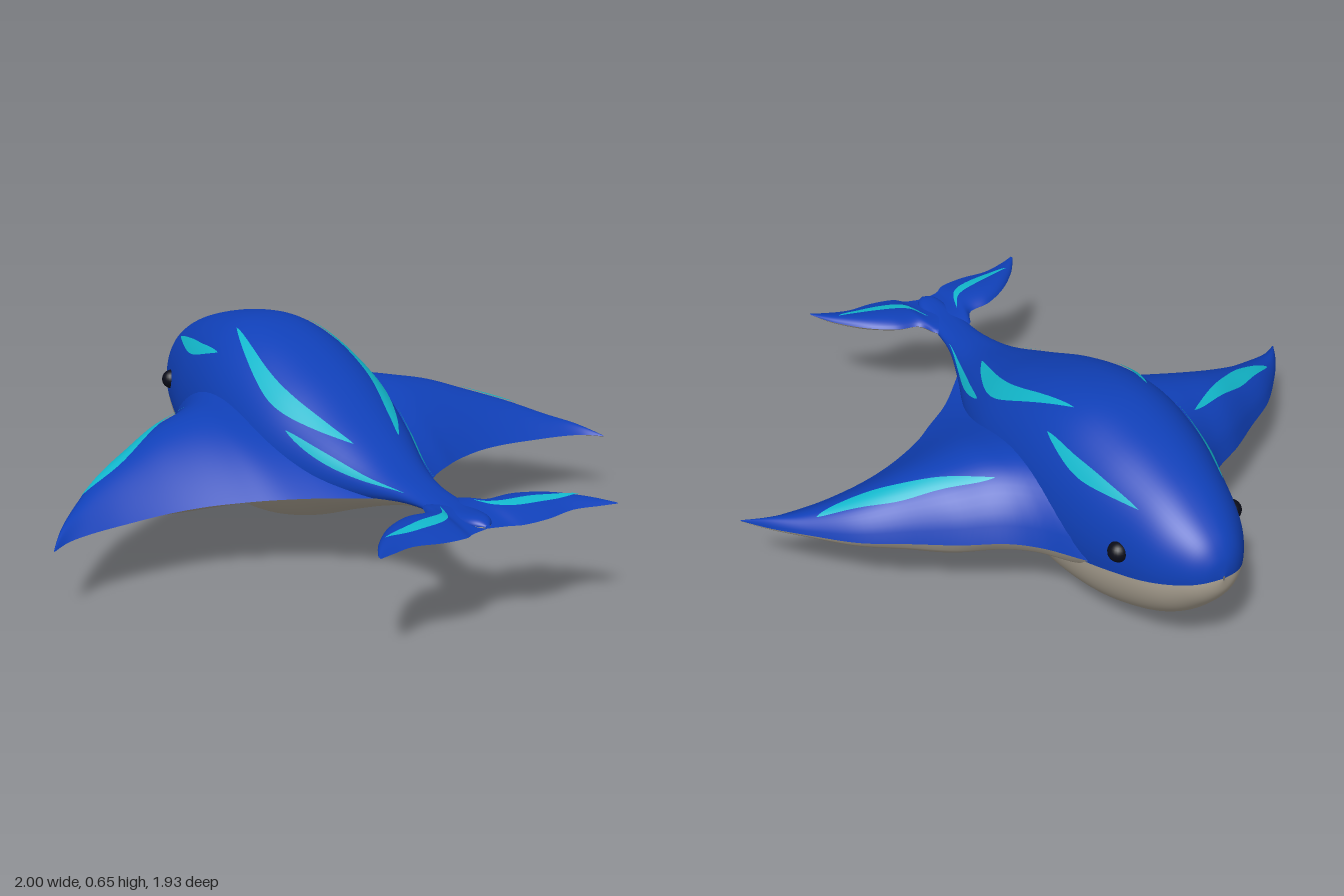
import * as THREE from 'three';

const mat = (name, color) => Object.assign(new THREE.MeshStandardMaterial({ color }), { name });

// Smooth interpolation through table rows, by row index
function rowAt(rows, t) {
  const n = rows.length - 1;
  const i = Math.min(Math.floor(t), n - 1), f = t - i;
  const p = k => rows[Math.max(0, Math.min(n, k))];
  return rows[i].map((b, c) => {
    const a = p(i - 1)[c], d = p(i + 1)[c], e = p(i + 2)[c];
    const m0 = (d - a) / 2, m1 = (e - b) / 2, f2 = f * f, f3 = f2 * f;
    return (2 * f3 - 3 * f2 + 1) * b + (f3 - 2 * f2 + f) * m0 + (3 * f2 - 2 * f3) * d + (f3 - f2) * m1;
  });
}

// Row at which the first column has the value x
function rowFor(rows, x) {
  let lo = 0, hi = rows.length - 1;
  for (let k = 0; k < 30; k++) {
    const mid = (lo + hi) / 2;
    if (rowAt(rows, mid)[0] < x) lo = mid; else hi = mid;
  }
  return rowAt(rows, lo);
}

// Curved sheet from a function f(u, v) -> [x, y, z]
function sheet(name, material, f, nu, nv, flip = false) {
  const pos = [], idx = [];
  for (let i = 0; i <= nu; i++) for (let j = 0; j <= nv; j++) pos.push(...f(i / nu, j / nv));
  for (let i = 0; i < nu; i++) for (let j = 0; j < nv; j++) {
    const a = i * (nv + 1) + j, b = a + nv + 1;
    if (flip) idx.push(a, b, a + 1, b, b + 1, a + 1);
    else idx.push(a, a + 1, b, b, a + 1, b + 1);
  }
  const g = new THREE.BufferGeometry();
  g.setAttribute('position', new THREE.Float32BufferAttribute(pos, 3));
  g.setIndex(idx);
  g.computeVertexNormals();
  const mesh = new THREE.Mesh(g, material);
  mesh.name = name;
  return mesh;
}

// Body sections: z, top, bottom, half width, colour border height
const BODY = [
  [-0.965, 0.372, 0.356, 0.004, 0.364],
  [-0.95, 0.425, 0.30, 0.055, 0.357],
  [-0.91, 0.477, 0.24, 0.105, 0.342],
  [-0.83, 0.53, 0.16, 0.16, 0.32],
  [-0.72, 0.58, 0.09, 0.202, 0.293],
  [-0.56, 0.628, 0.028, 0.248, 0.262],
  [-0.38, 0.655, 0.0, 0.275, 0.25],
  [-0.2, 0.63, 0.02, 0.28, 0.245],
  [0, 0.56, 0.08, 0.26, 0.24],
  [0.2, 0.47, 0.165, 0.2, 0.25],
  [0.4, 0.39, 0.245, 0.12, 0.29],
  [0.56, 0.36, 0.295, 0.07, 0.315],
  [0.72, 0.352, 0.315, 0.055, 0.33],
  [0.84, 0.36, 0.318, 0.04, 0.338],
  [0.885, 0.345, 0.335, 0.008, 0.34],
];

// Fin sections: x, leading z, trailing z, leading y, trailing y, rise above, depth below
const WING = [
  [0.08, -0.74, 0.46, 0.31, 0.3, 0.1, 0.1],
  [0.2, -0.66, 0.33, 0.285, 0.28, 0.17, 0.11],
  [0.3, -0.49, 0.255, 0.265, 0.27, 0.18, 0.1],
  [0.38, -0.4, 0.2, 0.255, 0.26, 0.18, 0.105],
  [0.5, -0.33, 0.145, 0.25, 0.25, 0.16, 0.1],
  [0.62, -0.245, 0.115, 0.245, 0.24, 0.125, 0.072],
  [0.75, -0.155, 0.105, 0.24, 0.23, 0.085, 0.045],
  [0.86, -0.04, 0.11, 0.235, 0.225, 0.045, 0.025],
  [0.94, 0.06, 0.125, 0.225, 0.22, 0.025, 0.012],
  [1.0, 0.155, 0.16, 0.215, 0.215, 0.002, 0.002],
];
const FLUKE = [
  [0, 0.66, 0.885, 0.335, 0.335, 0.015, 0.015],
  [0.06, 0.65, 0.9, 0.335, 0.335, 0.02, 0.015],
  [0.1, 0.715, 0.925, 0.34, 0.34, 0.025, 0.016],
  [0.18, 0.73, 0.932, 0.345, 0.345, 0.028, 0.02],
  [0.27, 0.785, 0.922, 0.35, 0.35, 0.022, 0.018],
  [0.35, 0.87, 0.943, 0.353, 0.353, 0.012, 0.01],
  [0.4, 0.95, 0.962, 0.357, 0.357, 0.001, 0.001],
];

function bodyPoint([z, top, bottom, w], a, lift = 0) {
  const c = Math.cos(a), s = Math.sin(a);
  const x = Math.sign(c) * Math.pow(Math.abs(c), s > 0 ? 0.85 : 1);
  return [x * (w + lift), (top + bottom) / 2 + s * ((top - bottom) / 2 + lift), z];
}

function finPoint([x, zL, zT, yL, yT, up, down], v, upper, lift = 0) {
  const k = Math.max(0, Math.min(1, v));
  const bulge = Math.sin(Math.PI * Math.pow(k, 0.7)) * (upper ? up : -down);
  return [x, yL + (yT - yL) * k + bulge + lift, zL + (zT - zL) * v];
}

export function createModel() {
  const blue = mat('deep blue', 0x1040b8);
  const cream = mat('belly cream', 0xb2a999);
  const teal = mat('stripe teal', 0x12b8cc);
  const black = mat('eye black', 0x0a0c18);
  const model = new THREE.Group();
  model.name = 'rayWhale';

  // Body: blue back and cream belly meet at the border height
  const half = belly => (u, v) => {
    const r = rowAt(BODY, u * (BODY.length - 1));
    const [, top, bottom, , split] = r;
    const s = Math.asin(Math.max(-0.95, Math.min(0.95, (2 * split - top - bottom) / (top - bottom))));
    const from = belly ? Math.PI - s : s, to = belly ? 2 * Math.PI + s : Math.PI - s;
    return bodyPoint(r, from + (to - from) * v);
  };
  model.add(sheet('back', blue, half(false), 84, 40), sheet('belly', cream, half(true), 84, 40));

  for (const side of [1, -1]) {
    const label = side > 0 ? 'left' : 'right';
    const mirror = p => [p[0] * side, p[1], p[2]];

    // Wings and tail flukes
    for (const [part, rows] of [['Wing', WING], ['Fluke', FLUKE]]) {
      for (const upper of [true, false]) {
        const f = (u, v) => mirror(finPoint(rowAt(rows, u * (rows.length - 1)), v, upper));
        model.add(sheet(label + part + (upper ? 'Top' : 'Underside'), upper ? blue : cream,
          f, 54, 28, upper !== (side > 0)));
      }
    }

    // Tapered stripes: path points along the surface, with a half width
    const stripe = (name, path, width, surface) => {
      const f = (u, v) => {
        const [p, q] = rowAt(path, u * (path.length - 1));
        return mirror(surface(p, q + width * Math.sin(Math.PI * u) * (2 * v - 1)));
      };
      model.add(sheet(label + name, teal, f, 40, 4, side < 0));
    };
    const onBody = (z, deg) => bodyPoint(rowFor(BODY, z), deg * Math.PI / 180, 0.005);
    const onFin = rows => (x, z) => {
      const r = rowFor(rows, x);
      return finPoint(r, (z - r[1]) / (r[2] - r[1]), true, 0.006);
    };
    stripe('HeadStripe', [[-0.74, 47], [-0.6, 43], [-0.48, 42], [-0.34, 46]], 5, onBody);
    stripe('BackStripe', [[-0.36, 67], [-0.1, 54], [0.05, 51], [0.2, 57], [0.3, 65]], 8, onBody);
    stripe('FlankStripe', [[0.1, 33], [0.25, 29], [0.4, 27], [0.56, 30]], 7, onBody);
    stripe('WingStripe', [[0.355, -0.29], [0.57, -0.17], [0.7, -0.095], [0.83, -0.035]], 0.032, onFin(WING));
    stripe('FlukeStripe', [[0.055, 0.73], [0.1, 0.815], [0.21, 0.85], [0.33, 0.873]], 0.02, onFin(FLUKE));

    // Eye
    const eye = new THREE.Mesh(new THREE.SphereGeometry(0.032, 20, 14), black);
    eye.name = label + 'Eye';
    eye.position.set(side * 0.195, 0.372, -0.72);
    model.add(eye);
  }
  return model;
}
